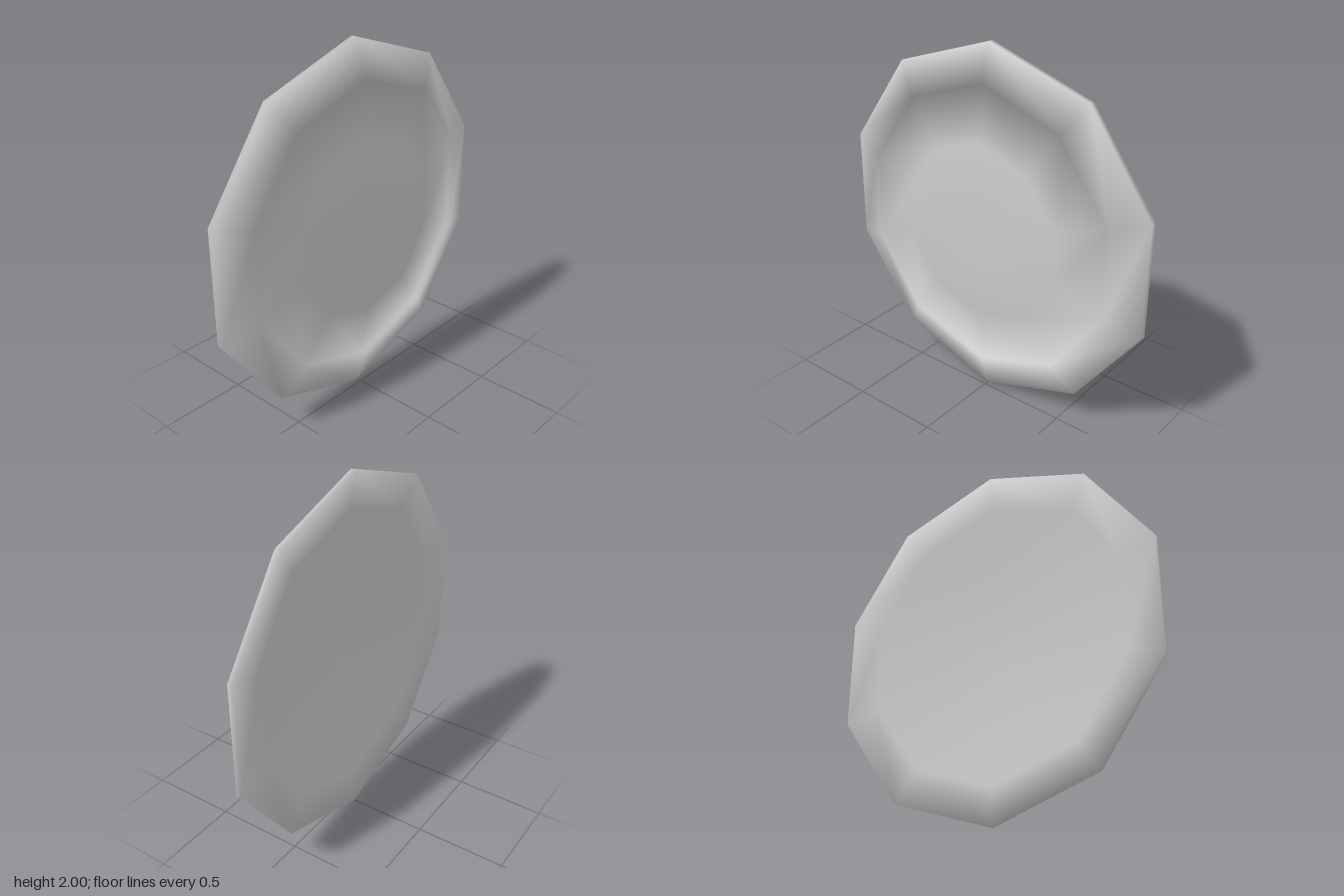
import * as THREE from 'three';

const SIDES = 10;

// Profile as [radius, depth]: dished back, outer edge, sloped rim, low step, domed face
const PROFILE = [
  [0, 0.027], [0.2, 0.023], [0.5, 0.003], [0.8, -0.029], [1, -0.056],
  [1, -0.027], [0.8, 0.037], [0.805, 0.004], [0.5, 0.052], [0.2, 0.057], [0, 0.058],
].map(([r, z]) => new THREE.Vector2(r, z));

// Smooth profile normals that weigh both neighbouring segments equally
function profileNormals(points) {
  const segment = points.slice(1).map((p, i) => {
    const d = p.clone().sub(points[i]).normalize();
    return new THREE.Vector2(d.y, -d.x);
  });
  return points.map((_, i) => {
    const n = new THREE.Vector2();
    if (i > 0) n.add(segment[i - 1]);
    if (i < segment.length) n.add(segment[i]);
    return n.normalize();
  });
}

function createPlate() {
  const geometry = new THREE.LatheGeometry(PROFILE, SIDES);
  const normals = profileNormals(PROFILE);
  const attribute = geometry.attributes.normal;
  for (let s = 0; s <= SIDES; s++) {
    const angle = (s / SIDES) * Math.PI * 2;
    normals.forEach((n, i) => attribute.setXYZ(
      s * normals.length + i, n.x * Math.sin(angle), n.y, n.x * Math.cos(angle)));
  }
  // Stand the disc upright with its domed face towards the front
  geometry.rotateX(Math.PI / 2);
  geometry.translate(0, 1, 0);
  return geometry;
}

export function createModel() {
  const group = new THREE.Group();
  group.name = 'decagonalPlate';
  const plate = new THREE.Mesh(createPlate(), new THREE.MeshStandardMaterial({ color: 0xcccccc }));
  plate.name = 'rimmedPlate';
  group.add(plate);
  return group;
}
